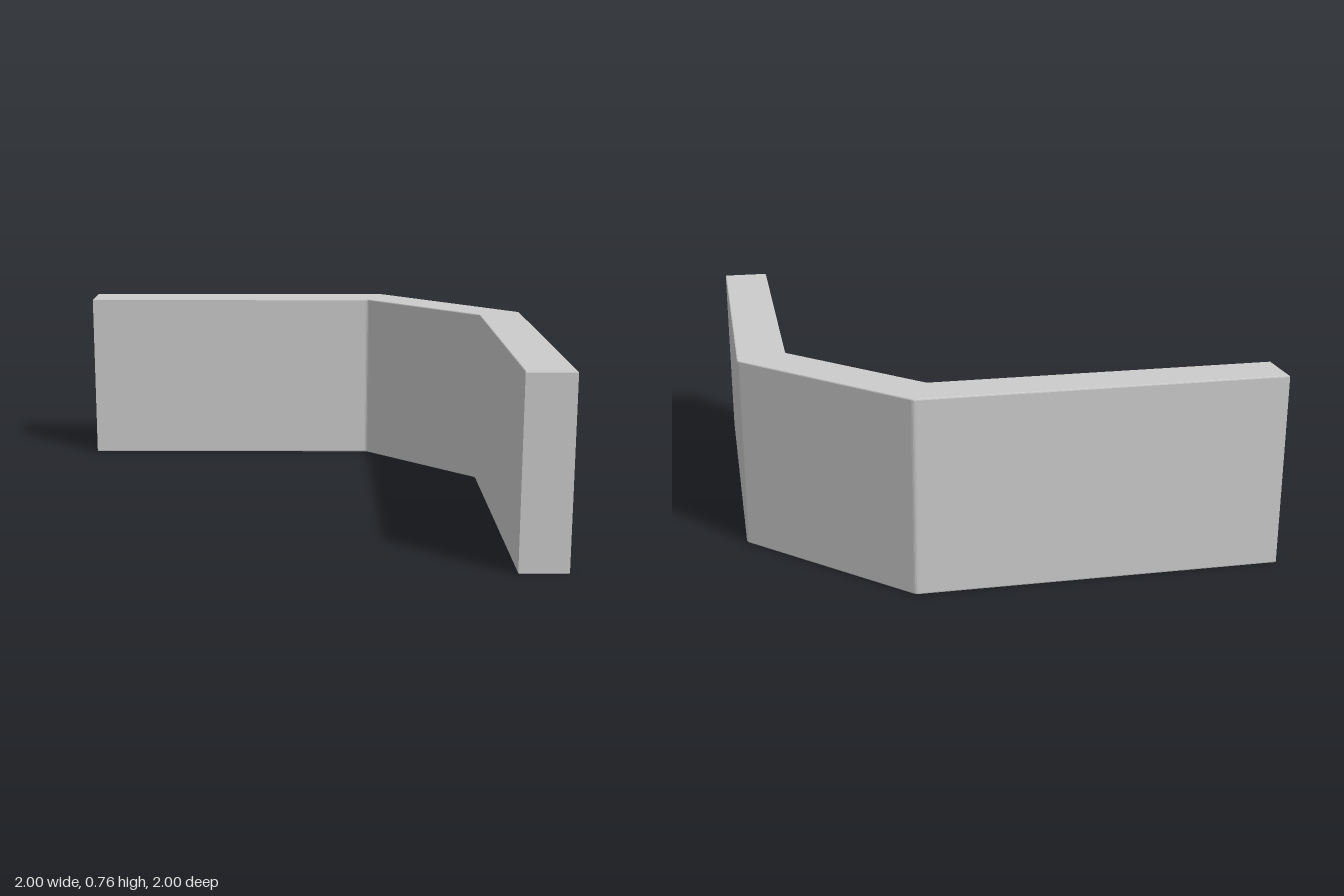
import * as THREE from 'three';

const HEIGHT = 0.76, BEVEL = 0.005, SOFT = 0.01;

// Plan outline of the wall, drawn as (x, -z); the third value marks a softened bend
const OUTLINE = [
  [-1, 1], [-1, 0.815], [0.33, 0.815, true], [0.81, 0.335, true],
  [0.81, -1], [1, -1], [1, 0.41, true], [0.41, 1, true],
];

function planShape() {
  const shape = new THREE.Shape();
  const points = OUTLINE.map(([x, y]) => new THREE.Vector2(x, y));
  const n = points.length;
  shape.moveTo(points[0].x, points[0].y);
  for (let i = 1; i < n; i++) {
    const p = points[i];
    if (!OUTLINE[i][2]) {
      shape.lineTo(p.x, p.y);
      continue;
    }
    // Slightly rounded bend
    const toward = (q) => q.clone().sub(p).setLength(SOFT).add(p);
    const a = toward(points[i - 1]);
    const b = toward(points[(i + 1) % n]);
    shape.lineTo(a.x, a.y);
    shape.quadraticCurveTo(p.x, p.y, b.x, b.y);
  }
  shape.closePath();
  return shape;
}

export function createModel() {
  const group = new THREE.Group();
  group.name = 'cornerWall';

  // Two straight runs joined by a diagonal, with finely bevelled rims
  const geometry = new THREE.ExtrudeGeometry(planShape(), {
    depth: HEIGHT - 2 * BEVEL,
    bevelEnabled: true,
    bevelThickness: BEVEL,
    bevelSize: BEVEL,
    bevelOffset: -BEVEL,
    bevelSegments: 2,
    curveSegments: 3,
  });
  geometry.rotateX(-Math.PI / 2);
  geometry.translate(0, BEVEL, 0);

  const wall = new THREE.Mesh(geometry, new THREE.MeshStandardMaterial({ color: 0xcccccc }));
  wall.name = 'wall';
  group.add(wall);
  return group;
}
